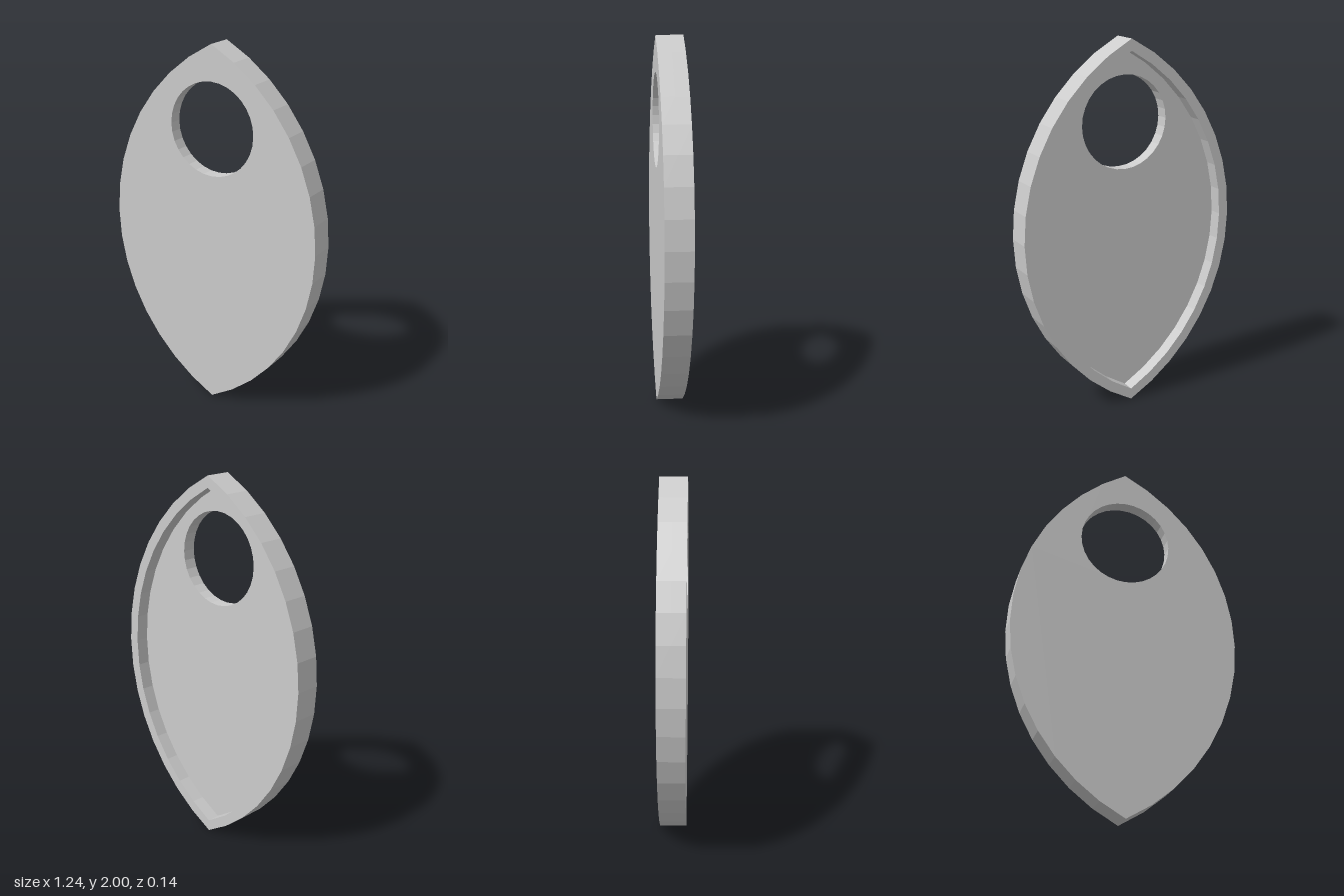
import * as THREE from 'three';

const HALF_W = 0.62, DEPTH = 0.145, RIM = 0.055, SEGMENTS = 16;
const R = (1 + HALF_W * HALF_W) / (2 * HALF_W); // radius of each side arc
const C = R - HALF_W; // arc centre distance from the middle line

// Pointed oval made of two mirrored arcs, inset by a wall width
function leafPoints(inset) {
  const r = R - inset, a = Math.acos(C / r), pts = [];
  for (const side of [1, -1]) {
    for (let i = 0; i < SEGMENTS; i++) {
      const t = -a + (2 * a * i) / SEGMENTS;
      pts.push(new THREE.Vector2(side * (r * Math.cos(t) - C), 1 + side * r * Math.sin(t)));
    }
  }
  return pts;
}

function circlePoints(y, r, n) {
  return Array.from({ length: n }, (_, i) => {
    const t = (2 * Math.PI * i) / n;
    return new THREE.Vector2(r * Math.cos(t), y + r * Math.sin(t));
  });
}

export function createModel() {
  const group = new THREE.Group();
  group.name = 'leafPendant';
  const material = new THREE.MeshStandardMaterial({ color: 0xcccccc, flatShading: true });

  function addPart(name, holePoints, z) {
    const shape = new THREE.Shape(leafPoints(0));
    shape.holes.push(new THREE.Path(holePoints));
    const geometry = new THREE.ExtrudeGeometry(shape, { depth: DEPTH / 2, bevelEnabled: false });
    const mesh = new THREE.Mesh(geometry, material);
    mesh.name = name;
    mesh.position.z = z;
    group.add(mesh);
  }

  // Front plate with the round opening
  addPart('frontPlate', circlePoints(1.56, 0.25, 32), 0);
  // Raised rim around the recessed back
  addPart('backRim', leafPoints(RIM), -DEPTH / 2);

  return group;
}
